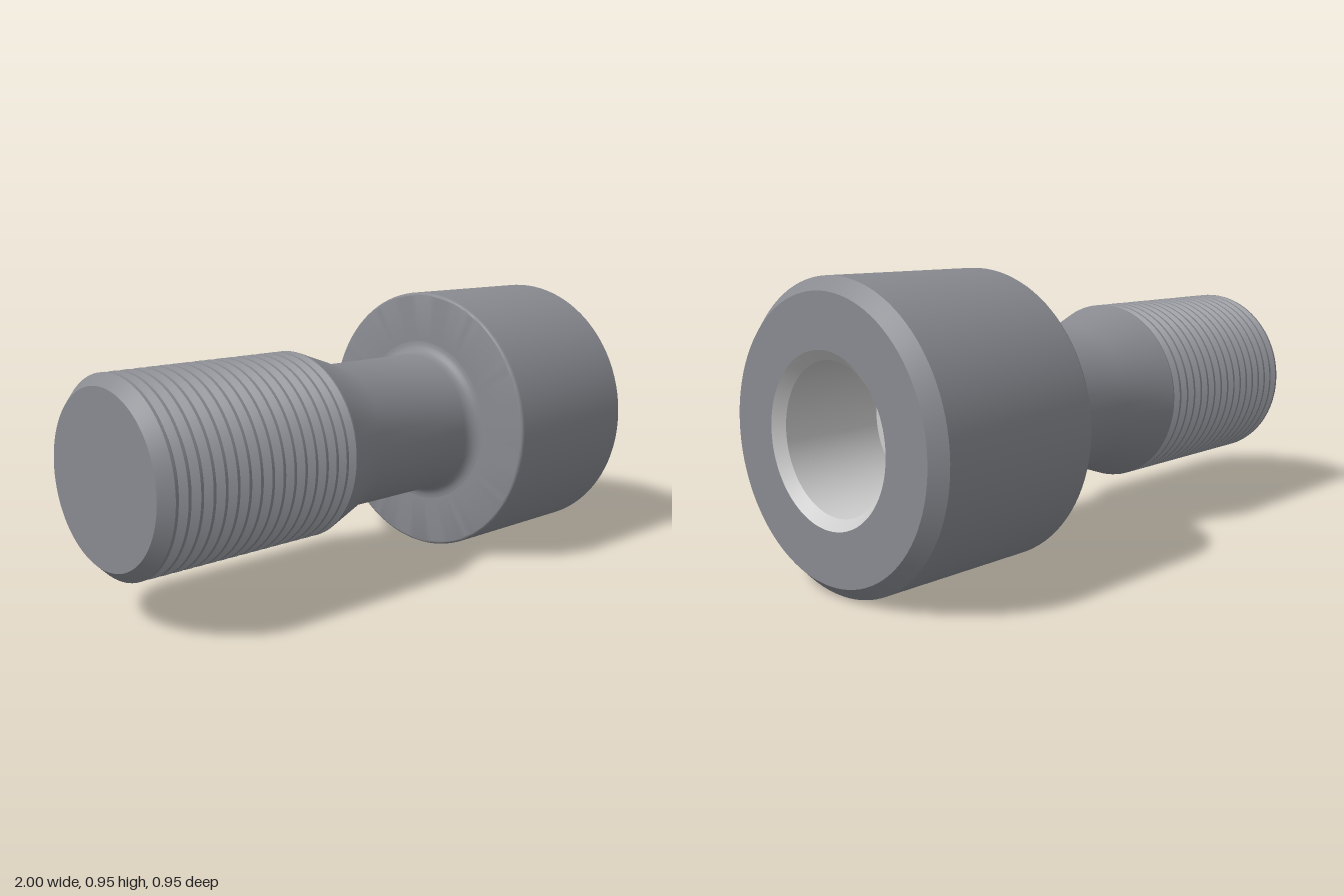
import * as THREE from 'three';
import { toCreasedNormals } from 'three/addons/utils/BufferGeometryUtils.js';

const AXIS_HEIGHT = 0.475;
const SEGMENTS = 96;

// Revolves [radius, position along x] points around the bolt axis
function turned(name, profile, material) {
  const points = profile.map(([r, x]) => new THREE.Vector2(r, x));
  const lathe = new THREE.LatheGeometry(points, SEGMENTS).rotateZ(-Math.PI / 2);
  const mesh = new THREE.Mesh(toCreasedNormals(lathe, 0.4), material);
  mesh.name = name;
  return mesh;
}

// Points of a quarter (or shorter) arc in the profile plane
function arc(cr, cx, radius, from, to, steps = 6) {
  return Array.from({ length: steps + 1 }, (_, i) => {
    const a = from + ((to - from) * i) / steps;
    return [cr + radius * Math.cos(a), cx + radius * Math.sin(a)];
  });
}

export function createModel() {
  const bolt = new THREE.Group();
  bolt.name = 'socketHeadBolt';
  const steel = new THREE.MeshStandardMaterial({ color: 0x888a90 });
  const bright = new THREE.MeshStandardMaterial({ color: 0xcccccc });

  // Threaded end: chamfered tip followed by ring-shaped teeth
  const start = -0.957, end = -0.265, teeth = 16;
  const pitch = (end - start) / teeth;
  const thread = [[0, -1], [0.278, -1], [0.314, start - 0.005]];
  for (let i = 0; i < teeth; i++) {
    const x = start + i * pitch;
    thread.push([0.314, x + 0.005], [0.291, x + pitch / 2], [0.314, x + pitch - 0.005]);
  }
  thread.push([0.314, end]);
  bolt.add(turned('thread', thread, steel));

  // Run-out cone, narrow shank and fillet under the head
  bolt.add(turned('shank', [
    [0.314, end], [0.25, -0.08],
    ...arc(0.295, 0.325, 0.045, Math.PI, Math.PI / 2),
  ], steel));

  // Head with rounded lower rim, chamfered upper rim and flat face
  bolt.add(turned('head', [
    [0.295, 0.37],
    ...arc(0.461, 0.382, 0.012, -Math.PI / 2, 0),
    [0.473, 0.957], [0.432, 1], [0.264, 1],
  ], steel));

  // Round socket with chamfered mouth
  bolt.add(turned('socket', [
    [0.264, 1], [0.232, 0.97], [0.232, 0.62], [0, 0.62],
  ], bright));

  bolt.children.forEach((part) => { part.position.y = AXIS_HEIGHT; });
  return bolt;
}
